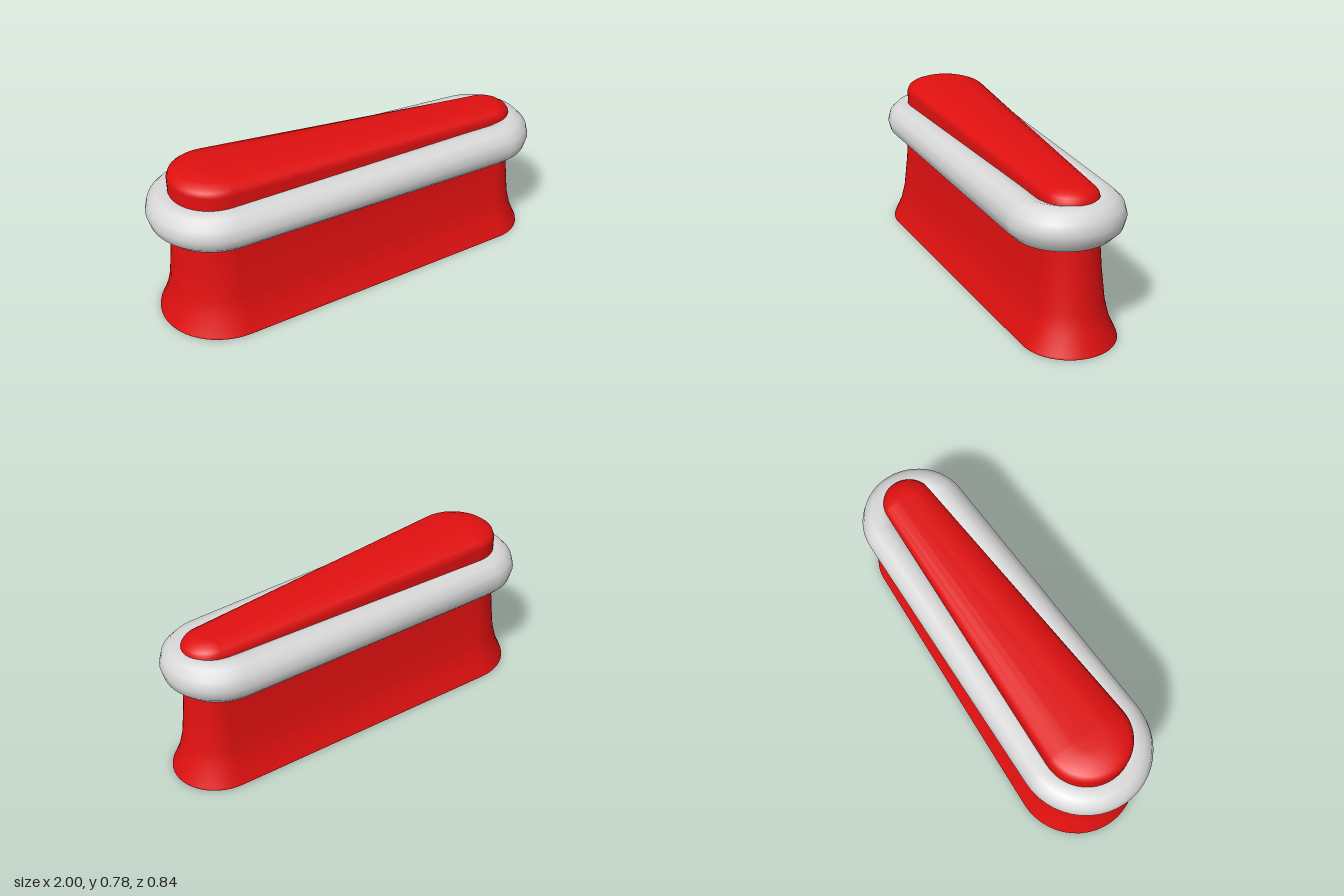
import * as THREE from 'three';

const ARC = 24; // segments in each rounded end

// Outline around two circles of different radius, as [x, z] points
function outline(a, b, rA, rB) {
  const dx = b[0] - a[0], dz = b[1] - a[1];
  const dir = Math.atan2(dz, dx);
  const theta = Math.acos((rA - rB) / Math.hypot(dx, dz));
  const points = [];
  const arc = (c, r, from, to) => {
    for (let i = 0; i <= ARC; i++) {
      const t = dir + from + (to - from) * i / ARC;
      points.push([c[0] + r * Math.cos(t), c[1] + r * Math.sin(t)]);
    }
  };
  arc(b, rB, -theta, theta);
  arc(a, rA, theta, 2 * Math.PI - theta);
  return points;
}

// Skin through rows of { rA, rB, y }, where y is a number or a function of x
function loft(a, b, rows) {
  const n = 2 * (ARC + 1), positions = [], index = [];
  rows.forEach(({ rA, rB, y }, i) => {
    for (const [x, z] of outline(a, b, rA, rB)) {
      positions.push(x, typeof y === 'function' ? y(x) : y, z);
    }
    if (i === 0) return;
    for (let j = 0; j < n; j++) {
      const k = (j + 1) % n, lo = (i - 1) * n, hi = i * n;
      index.push(lo + j, hi + j, lo + k, lo + k, hi + j, hi + k);
    }
  });
  const geometry = new THREE.BufferGeometry();
  geometry.setAttribute('position', new THREE.Float32BufferAttribute(positions, 3));
  geometry.setIndex(index);
  geometry.computeVertexNormals();
  return geometry;
}

export function createModel() {
  const group = new THREE.Group();
  const red = new THREE.MeshStandardMaterial({ name: 'red', color: 0xe01010 });
  const grey = new THREE.MeshStandardMaterial({ name: 'light grey', color: 0xd8d8d8 });
  const add = (name, geometry, material) => {
    const mesh = new THREE.Mesh(geometry, material);
    mesh.name = name;
    group.add(mesh);
  };

  // Flared body: the wide end is at a, the narrow end at b
  const a = [-0.68, -0.105], b = [0.775, 0.15], RA = 0.21, RB = 0.125;
  const wall = 0.025;
  const flare = [[0, 0.097], [0.01, 0.095], [0.09, 0.058], [0.18, 0.035], [0.33, 0.017], [0.47, 0.005], [0.6, 0]];
  const row = (y, d) => ({ rA: RA + d, rB: RB + d, y });

  // Sloping rounded top: [share of the radius drawn in, drop below the top plane]
  const top = x => 0.752 - 0.043 * x;
  const crown = [[0, 0.06], [0.04, 0.038], [0.12, 0.025], [0.28, 0.012], [0.5, 0.003], [0.65, 0], [1, 0]];
  const crownRows = crown.map(([f, drop]) => ({ rA: RA * (1 - f), rB: RB * (1 - f), y: x => top(x) - drop }));
  add('body', loft(a, b, [...flare.map(([y, d]) => row(y, d)), ...crownRows]), red);

  // Hollow inside with its bottom rim and ceiling
  add('innerWall', loft(a, b, flare.map(([y, d]) => row(y, d - wall)).reverse()), red);
  add('bottomRim', loft(a, b, [row(0, flare[0][1] - wall), row(0, flare[0][1])]), red);
  add('ceiling', loft(a, b, [{ rA: 0, rB: 0, y: 0.6 }, row(0.6, -wall)]), red);

  // Thick twelve-sided band around the body
  const R = 0.098, bandRows = [];
  for (let i = 0; i <= 12; i++) {
    const t = -Math.PI + i * Math.PI / 6;
    const d = R * Math.cos(t);
    bandRows.push({ rA: 0.222 + d, rB: 0.177 + d, y: 0.568 + R * Math.sin(t) });
  }
  add('band', loft([-0.68, -0.105], [0.715, 0.145], bandRows), grey);

  return group;
}
